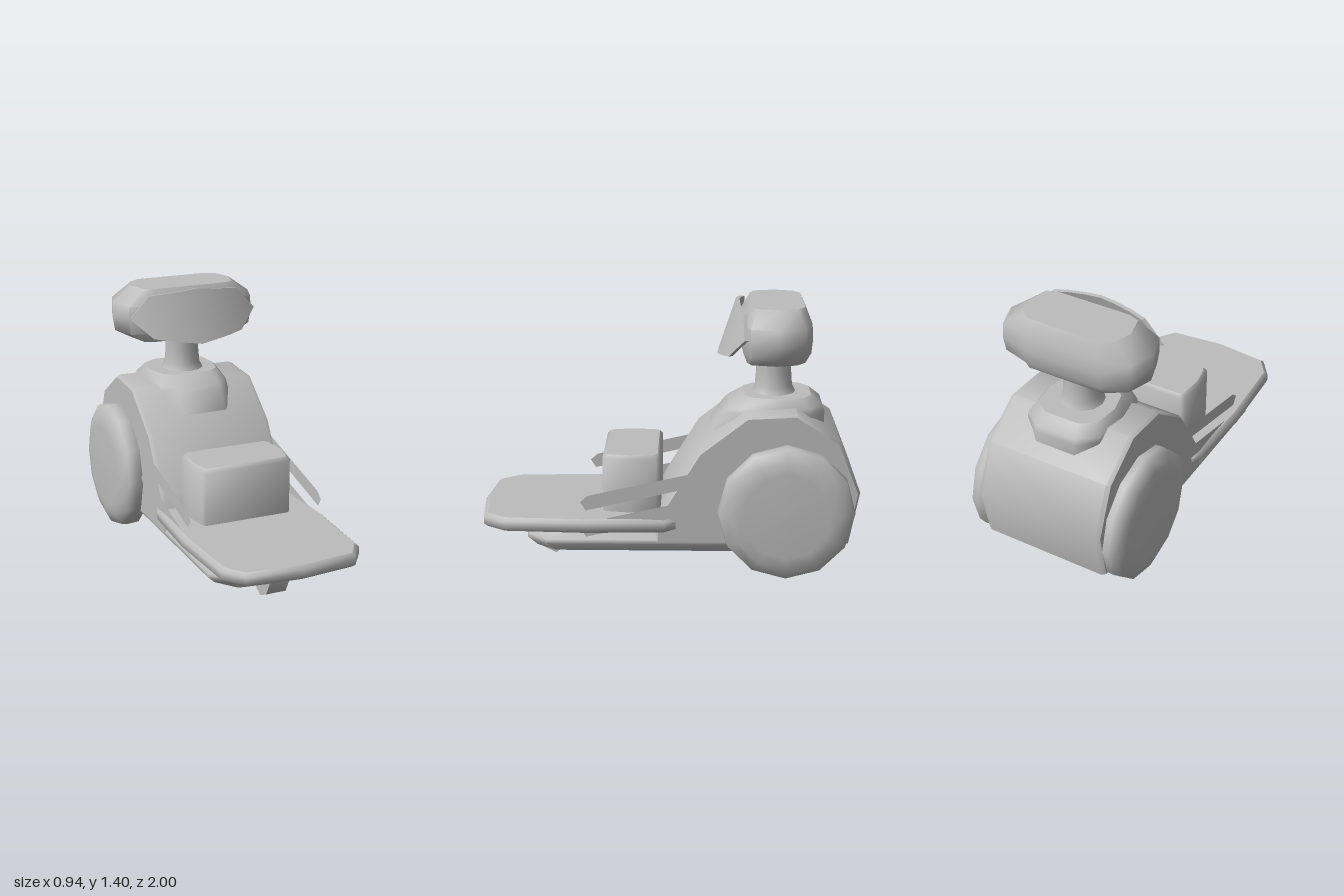
import * as THREE from 'three';
import { mergeGeometries, toCreasedNormals } from 'three/addons/utils/BufferGeometryUtils.js';

const grey = new THREE.MeshStandardMaterial({ color: 0xbcbcbc, side: THREE.DoubleSide });
grey.name = 'plain grey';

// Skin a stack of equal-length rings with smooth sides and flat end caps.
function loft(rings, crease = 1.2) {
  const sides = [], caps = [];
  const n = rings[0].length;
  for (let k = 0; k < rings.length - 1; k++) {
    const a = rings[k], b = rings[k + 1];
    for (let i = 0; i < n; i++) {
      const j = (i + 1) % n;
      sides.push(...a[i], ...a[j], ...b[j], ...a[i], ...b[j], ...b[i]);
    }
  }
  const first = rings[0], last = rings[rings.length - 1];
  for (let i = 1; i < n - 1; i++) {
    caps.push(...first[0], ...first[i + 1], ...first[i], ...last[0], ...last[i], ...last[i + 1]);
  }
  const [side, cap] = [sides, caps].map(pos => {
    const g = new THREE.BufferGeometry();
    g.setAttribute('position', new THREE.Float32BufferAttribute(pos, 3));
    g.computeVertexNormals();
    return g;
  });
  return mergeGeometries([toCreasedNormals(side, crease), cap]);
}

// Horizontal ring: right half outline from front to back, mirrored in x.
function ring(y, half) {
  const left = half.filter(p => p[0] > 0).reverse();
  return [...half.map(([x, z]) => [x, y, z]), ...left.map(([x, z]) => [-x, y, z])];
}

// Symmetric rounded outline scaled to half width hx between z0 (back) and z1 (front).
function oval(y, hx, z0, z1, plan) {
  const c = (z0 + z1) / 2, h = (z1 - z0) / 2;
  return ring(y, plan.map(([fx, fz]) => [fx * hx, c + fz * h]));
}

// Upright ring in the z-y plane, counter-clockwise from +x, shrunk about its middle.
function sideRing(x, points, s = 1, cz = -0.5, cy = 0.45) {
  return points.map(([z, y]) => [x, cy + (y - cy) * s, cz + (z - cz) * s]);
}

const vectors = points => points.map(p => new THREE.Vector2(...p));

export function createModel() {
  const model = new THREE.Group();
  const add = (name, geometry) => {
    const m = new THREE.Mesh(geometry, grey);
    m.name = name;
    model.add(m);
    return m;
  };

  // Main drum body with softly bevelled sides
  const drum = [[0.065, 0.17], [-0.945, 0.17], [-0.998, 0.45], [-0.89, 0.72],
    [-0.665, 0.868], [-0.41, 0.855], [-0.16, 0.66], [0.01, 0.38], [0.065, 0.28]];
  add('body', loft([
    sideRing(-0.357, drum, 0.975), sideRing(-0.335, drum),
    sideRing(0.335, drum), sideRing(0.357, drum, 0.975)], 0.75));

  // Low chassis under the tray
  const chassisPlan = (hx, front, back) =>
    [[0, front], [hx * 0.72, front - 0.03], [hx, front - 0.14], [hx, back + 0.1], [hx * 0.8, back]];
  add('chassis', loft([
    ring(0.108, chassisPlan(0.3, 0.73, -0.8)),
    ring(0.165, chassisPlan(0.355, 0.775, -0.83)),
    ring(0.185, chassisPlan(0.353, 0.77, -0.83)),
    ring(0.245, chassisPlan(0.32, 0.71, 0.25))]));

  // Front tray with a bevelled rim
  const trayPlan = d => [[0, 1 - d], [0.3 - d * 0.5, 0.97 - d], [0.38 - d, 0.86 - d * 0.5],
    [0.404 - d, 0.42], [0.385 - d, 0.02], [0.36 - d, -0.04 + d]];
  add('tray', loft([ring(0.235, trayPlan(0.02)), ring(0.252, trayPlan(0)),
    ring(0.292, trayPlan(0)), ring(0.31, trayPlan(0.02))]));

  // Box standing on the tray
  const boxPlan = [[0.87, 1], [0.93, 0.84], [1, 0.1], [0.95, -0.85], [0.88, -1]];
  add('box', loft([oval(0.3, 0.272, 0.04, 0.345, boxPlan),
    oval(0.6, 0.272, 0.04, 0.345, boxPlan), oval(0.62, 0.255, 0.055, 0.328, boxPlan)]));

  // Collar on top of the body
  const collarPlan = [[0.55, 1], [0.86, 0.72], [1, 0.1], [0.91, -0.7], [0.5, -1]];
  add('collar', loft([oval(0.73, 0.22, -0.82, -0.22, collarPlan),
    oval(0.83, 0.23, -0.82, -0.29, collarPlan),
    oval(0.86, 0.228, -0.81, -0.32, collarPlan),
    oval(0.91, 0.19, -0.75, -0.4, collarPlan)]));

  // Neck with a flared foot
  const neckProfile = vectors([[0.12, 0.9], [0.115, 0.915], [0.099, 0.945], [0.093, 1.02], [0.091, 1.13]]);
  add('neck', new THREE.LatheGeometry(neckProfile, 12)).position.z = -0.555;

  // Head
  const headPlan = [[0, 1], [0.52, 0.97], [0.89, 0.76], [1, 0], [0.89, -0.76], [0.52, -1]];
  const headTop = [[0, 1], [0.7, 1], [0.9, 0.85], [1, 0], [0.9, -0.7], [0.7, -1]];
  add('head', loft([oval(1.11, 0.3, -0.705, -0.405, headTop),
    oval(1.16, 0.395, -0.735, -0.38, headPlan),
    oval(1.235, 0.407, -0.742, -0.375, headPlan),
    oval(1.315, 0.405, -0.737, -0.375, headPlan),
    oval(1.4, 0.29, -0.7, -0.43, headTop)]));

  // Tilted, gently curved face panel
  const edge = [[0, 1.4, 1.113], [0.09, 1.391, 1.127], [0.18, 1.383, 1.14],
    [0.26, 1.373, 1.153], [0.32, 1.308, 1.21], [0.366, 1.258, 1.254]];
  const columns = [...edge.slice(1).reverse().map(([x, t, b]) => [-x, t, b]), ...edge];
  add('facePanel', loft(columns.map(([x, top, bottom]) => {
    const z = y => -0.35 + (1.4 - y) * 0.33 - 0.62 * x * x;
    const bx = x * 0.98;
    return [[bx, bottom + 0.002, z(bottom) - 0.02], [bx, top - 0.002, z(top) - 0.02],
      [x, top, z(top)], [x, bottom, z(bottom)]];
  }), 0.5));

  // Side wheels
  const wheelProfile = vectors([[0, 0.31], [0.31, 0.31], [0.352, 0.325], [0.357, 0.39],
    [0.35, 0.43], [0.29, 0.456], [0.23, 0.467], [0, 0.47]]);
  // Thin slanted side bars
  const barGeometry = new THREE.ShapeGeometry(new THREE.Shape(vectors(
    [[-0.455, 0.4], [-0.415, 0.435], [0.215, 0.578], [0.25, 0.54], [0.215, 0.503], [-0.425, 0.355]])));
  barGeometry.rotateY(Math.PI / 2);

  for (const side of [1, -1]) {
    const name = side > 0 ? 'left' : 'right';
    const wheel = add(name + 'Wheel', new THREE.LatheGeometry(wheelProfile, 12));
    wheel.rotation.z = -side * Math.PI / 2;
    wheel.position.set(0, 0.358, -0.615);
    for (let i = 0; i < 2; i++) {
      add(name + 'SideBar' + (i + 1), barGeometry).position.set(side * 0.372, -0.145 * i, 0);
    }
  }

  // Small front caster
  const caster = [[0.725, 0.13], [0.725, 0.1], [0.69, 0.035], [0.62, 0],
    [0.55, 0.04], [0.515, 0.12], [0.515, 0.13]];
  add('frontCaster', loft([sideRing(-0.055, caster), sideRing(0.055, caster)]));

  return model;
}
